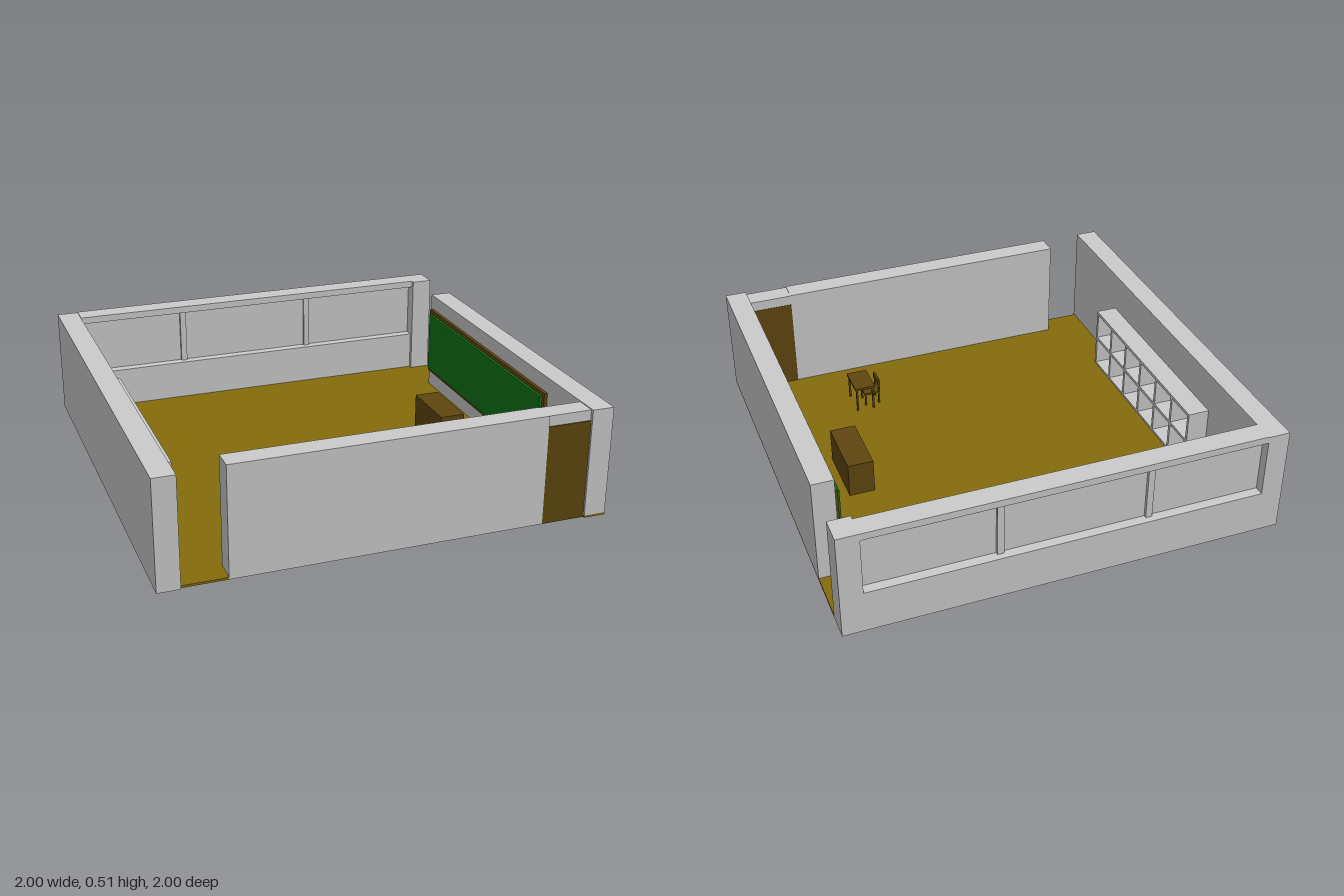
import * as THREE from 'three';

const mat = (color) => new THREE.MeshStandardMaterial({ color });
const grey = mat(0xcccccc);
const floorBrown = mat(0x856b0c);
const wood = mat(0x5f4710);
const green = mat(0x12751a);

// Box given by its extents along each axis
function box(parent, name, material, [x0, x1], [y0, y1], [z0, z1]) {
  const mesh = new THREE.Mesh(new THREE.BoxGeometry(x1 - x0, y1 - y0, z1 - z0), material);
  mesh.position.set((x0 + x1) / 2, (y0 + y1) / 2, (z0 + z1) / 2);
  mesh.name = name;
  parent.add(mesh);
  return mesh;
}

function group(parent, name) {
  const g = new THREE.Group();
  g.name = name;
  parent.add(g);
  return g;
}

// Four legs inside a rectangle
function legs(parent, name, [x0, x1], [y0, y1], [z0, z1], t) {
  for (const x of [x0, x1 - t])
    for (const z of [z0, z1 - t]) box(parent, name, wood, [x, x + t], [y0, y1], [z, z + t]);
}

const FLOOR = 0.01;

function addFloor(room) {
  const g = group(room, 'floor');
  box(g, 'mainFloor', floorBrown, [-0.9, 1], [0, FLOOR], [-0.88, 0.89]);
  box(g, 'backFloorStrip', floorBrown, [-0.9, 0.9], [0, FLOOR], [-0.9, -0.88]);
  box(g, 'entranceFloor', floorBrown, [-0.9, -0.7], [0, FLOOR], [0.89, 0.99]);
  box(g, 'cornerFloor', floorBrown, [0.9, 1], [0, FLOOR], [0.89, 1]);
}

function addWalls(room) {
  const g = group(room, 'walls');
  box(g, 'rightWall', grey, [-1, -0.9], [0, 0.5], [-1, 1]);
  box(g, 'leftWall', grey, [0.9, 1], [FLOOR, 0.507], [-0.64, 1]);
  box(g, 'leftWallEnd', grey, [0.9, 1], [0, 0.503], [-1, -0.88]);
  box(g, 'frontWall', grey, [-0.7, 0.7], [0, 0.505], [0.89, 0.99]);
  box(g, 'doorLintel', grey, [0.7, 0.9], [0.455, 0.503], [0.89, 0.985]);
  box(g, 'door', wood, [0.7, 0.9], [0, 0.455], [0.888, 0.99]);

  // Back wall with a long window opening
  const z = [-1, -0.9];
  box(g, 'wallBelowWindow', grey, [-0.9, 0.9], [0, 0.2], z);
  box(g, 'wallAboveWindow', grey, [-0.9, 0.9], [0.47, 0.503], z);
  box(g, 'windowPane', grey, [-0.9, 0.9], [0.2, 0.47], [-0.955, -0.945]);
  for (const x of [-0.37, 0.305])
    box(g, 'windowPost', grey, [x - 0.015, x + 0.015], [0.2, 0.47], [-0.97, -0.93]);
}

// Open pigeonhole shelf, six columns by two rows
function addShelf(room) {
  const g = group(room, 'shelf');
  const x = [-0.9, -0.8], t = 0.016, h = 0.317, columns = 6;
  const step = (1 - t) / columns;
  for (const y of [0.005, 0.155, h - t])
    box(g, 'shelfBoard', grey, x, [y, y + t], [-0.5, 0.5]);
  for (let i = 0; i <= columns; i++) {
    const z = -0.5 + i * step;
    box(g, 'shelfDivider', grey, x, [0.005, h], [z, z + t]);
  }
}

function addBoard(room) {
  const g = group(room, 'board');
  const y = [0.095, 0.435], z = [-0.62, 0.615], t = 0.02;
  box(g, 'boardFrame', wood, [0.885, 0.9], y, z);
  box(g, 'boardSurface', green, [0.873, 0.886], [y[0] + t, y[1] - t], [z[0] + t, z[1] - t]);
}

function addFurniture(room) {
  box(room, 'teacherDesk', wood, [0.6, 0.72], [FLOOR, 0.175], [-0.14, 0.16]);

  // Student desk
  const desk = group(room, 'studentDesk');
  box(desk, 'deskTop', wood, [0.4, 0.5], [0.13, 0.142], [0.5, 0.655]);
  legs(desk, 'deskLeg', [0.405, 0.495], [FLOOR, 0.13], [0.505, 0.65], 0.009);

  // Chair tucked under the desk
  const chair = group(room, 'chair');
  box(chair, 'seat', wood, [0.365, 0.445], [0.07, 0.08], [0.535, 0.615]);
  legs(chair, 'chairLeg', [0.367, 0.443], [FLOOR, 0.07], [0.537, 0.613], 0.008);
  for (const z of [0.537, 0.605])
    box(chair, 'backPost', wood, [0.365, 0.373], [0.08, 0.145], [z, z + 0.008]);
  box(chair, 'backrest', wood, [0.364, 0.375], [0.115, 0.147], [0.535, 0.615]);
}

export function createModel() {
  const room = new THREE.Group();
  room.name = 'classroom';
  addFloor(room);
  addWalls(room);
  addShelf(room);
  addBoard(room);
  addFurniture(room);
  return room;
}
